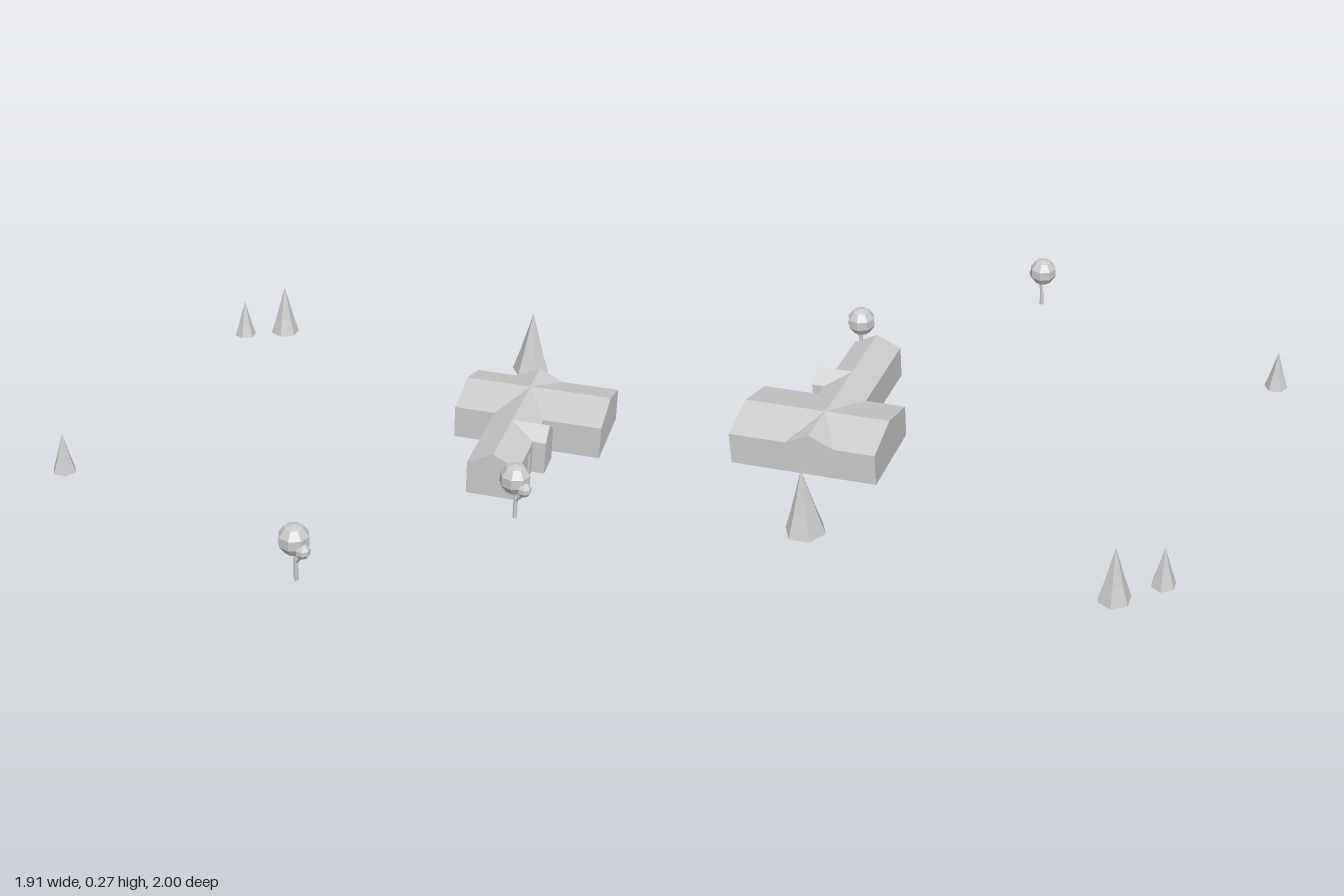
import * as THREE from 'three';

const mat = new THREE.MeshStandardMaterial({ color: 0xcccccc, flatShading: true, side: THREE.DoubleSide });

function add(parent, name, geo, x = 0, y = 0, z = 0) {
  const m = new THREE.Mesh(geo, mat);
  m.name = name;
  m.position.set(x, y, z);
  parent.add(m);
  return m;
}

// Convex polygons, each a list of [x, y, z] corners, fanned into triangles
function faces(polys) {
  const pos = [];
  for (const p of polys)
    for (let i = 1; i < p.length - 1; i++) pos.push(...p[0], ...p[i], ...p[i + 1]);
  const g = new THREE.BufferGeometry();
  g.setAttribute('position', new THREE.Float32BufferAttribute(pos, 3));
  g.computeVertexNormals();
  return g;
}

// House levels and plan lines
const B = 0.015, E = 0.14, R = 0.185;
const X0 = 0.39, X1 = 0.545, XC = 0.64, X2 = 0.735, X3 = 0.953;
const Z0 = -0.545, ZC = -0.375, Z1 = -0.2, Z2 = 0.208;

// Wall between two plan points, optionally with a gable peak in the middle
function wall([xa, za], [xb, zb], peak) {
  const p = [[xa, B, za], [xb, B, zb], [xb, E, zb]];
  if (peak) p.push([peak[0], R, peak[1]]);
  p.push([xa, E, za]);
  return p;
}

function house() {
  const g = new THREE.Group();
  g.name = 'house';

  add(g, 'walls', faces([
    wall([X1, Z2], [X2, Z2], [XC, Z2]),
    wall([X2, Z1], [X3, Z1]),
    wall([X3, Z1], [X3, Z0], [X3, ZC]),
    wall([X3, Z0], [X2, Z0]),
    wall([X2, Z0], [X1, Z0], [XC, Z0]),
    wall([X1, Z0], [X0, Z0]),
    wall([X0, Z0], [X0, Z1], [X0, ZC]),
    wall([X0, Z1], [X1, Z1]),
    wall([X1, Z1], [X1, Z2]),
  ]));

  // Cross-gabled roof, the four arms meeting at one point
  const c = [XC, R, ZC];
  add(g, 'roof', faces([
    [[X0, E, Z1], [X1, E, Z1], c, [X0, R, ZC]],
    [[X1, E, Z0], [X0, E, Z0], [X0, R, ZC], c],
    [[X2, E, Z1], [X3, E, Z1], [X3, R, ZC], c],
    [[X3, E, Z0], [X2, E, Z0], c, [X3, R, ZC]],
    [[X2, E, Z0], [XC, R, Z0], c],
    [[XC, R, Z0], [X1, E, Z0], c],
    [[X1, E, Z1], [X1, E, Z2], [XC, R, Z2], c],
    [[X2, E, Z2], [X2, E, Z1], c, [XC, R, Z2]],
  ]));

  // Side wall with two recessed garage doors; shape x runs towards the back
  const t = 0.008;
  const rect = (P, a, b, y0, y1) => new P([[a, y0], [b, y0], [b, y1], [a, y1]].map(q => new THREE.Vector2(...q)));
  const side = rect(THREE.Shape, -Z2, -Z1, B, E);
  for (const [front, back] of [[0.192, 0.107], [0.097, 0.015]]) {
    side.holes.push(rect(THREE.Path, -front, -back, B + 0.002, 0.118));
    add(g, 'garageDoor', faces([[
      [X2 - t, B, front], [X2 - t, B, back], [X2 - t, 0.118, back], [X2 - t, 0.118, front],
    ]]));
  }
  const sideWall = add(g, 'garageWall', new THREE.ExtrudeGeometry(side, { depth: t, bevelEnabled: false }), X2 - t);
  sideWall.rotation.y = Math.PI / 2;

  // Gabled entry porch, its roof running back to the main ridge
  const xp = 0.783, zf = -0.018, zm = -0.08, zb = -0.142;
  add(g, 'porch', faces([
    wall([xp, zf], [xp, zb], [xp, zm]),
    wall([X2, zf], [xp, zf]),
    wall([xp, zb], [X2, zb]),
    [[X2, E, zf], [xp, E, zf], [xp, R, zm], [XC, R, zm]],
    [[xp, E, zb], [X2, E, zb], [XC, R, zm], [xp, R, zm]],
  ]));
  return g;
}

// Six-sided conifer with a slight kink above the skirt
function conifer(x, z, y, r, h, turn) {
  const pts = [[0, 0], [r, 0], [r * 0.64, h * 0.33], [0, h]].map(p => new THREE.Vector2(...p));
  const m = new THREE.Group();
  m.name = 'conifer';
  add(m, 'coniferFoliage', new THREE.LatheGeometry(pts, 6), x, y, z).rotation.y = turn;
  return m;
}

// Round tree: main crown, small side crown, trunk and branch
function roundTree(x, z, y) {
  const g = new THREE.Group();
  g.name = 'roundTree';
  g.position.set(x, y, z);
  add(g, 'crown', new THREE.SphereGeometry(0.057, 8, 5), 0, 0.157, 0);
  add(g, 'sideCrown', new THREE.SphereGeometry(0.027, 7, 5), 0.04, 0.132, 0.026);
  add(g, 'trunk', new THREE.CylinderGeometry(0.007, 0.008, 0.12, 6), 0.006, 0.06, 0);
  const path = new THREE.LineCurve3(new THREE.Vector3(0.008, 0.068, 0), new THREE.Vector3(0.038, 0.115, 0.024));
  add(g, 'branch', new THREE.TubeGeometry(path, 1, 0.005, 5));
  return g;
}

export function createModel() {
  const model = new THREE.Group();
  model.name = 'houseWithTrees';
  const a = Math.PI / 6;
  model.add(
    house(),
    conifer(-0.91, 0.52, 0.01, 0.046, 0.155, a),
    conifer(-0.723, -0.837, 0.01, 0.045, 0.155, 0),
    conifer(-0.578, -0.94, 0, 0.06, 0.21, 0),
    conifer(0.535, -0.87, 0.015, 0.075, 0.255, a),
    roundTree(0.152, 0.943, 0.006),
    roundTree(0.748, 0.325, 0.013),
  );
  return model;
}
